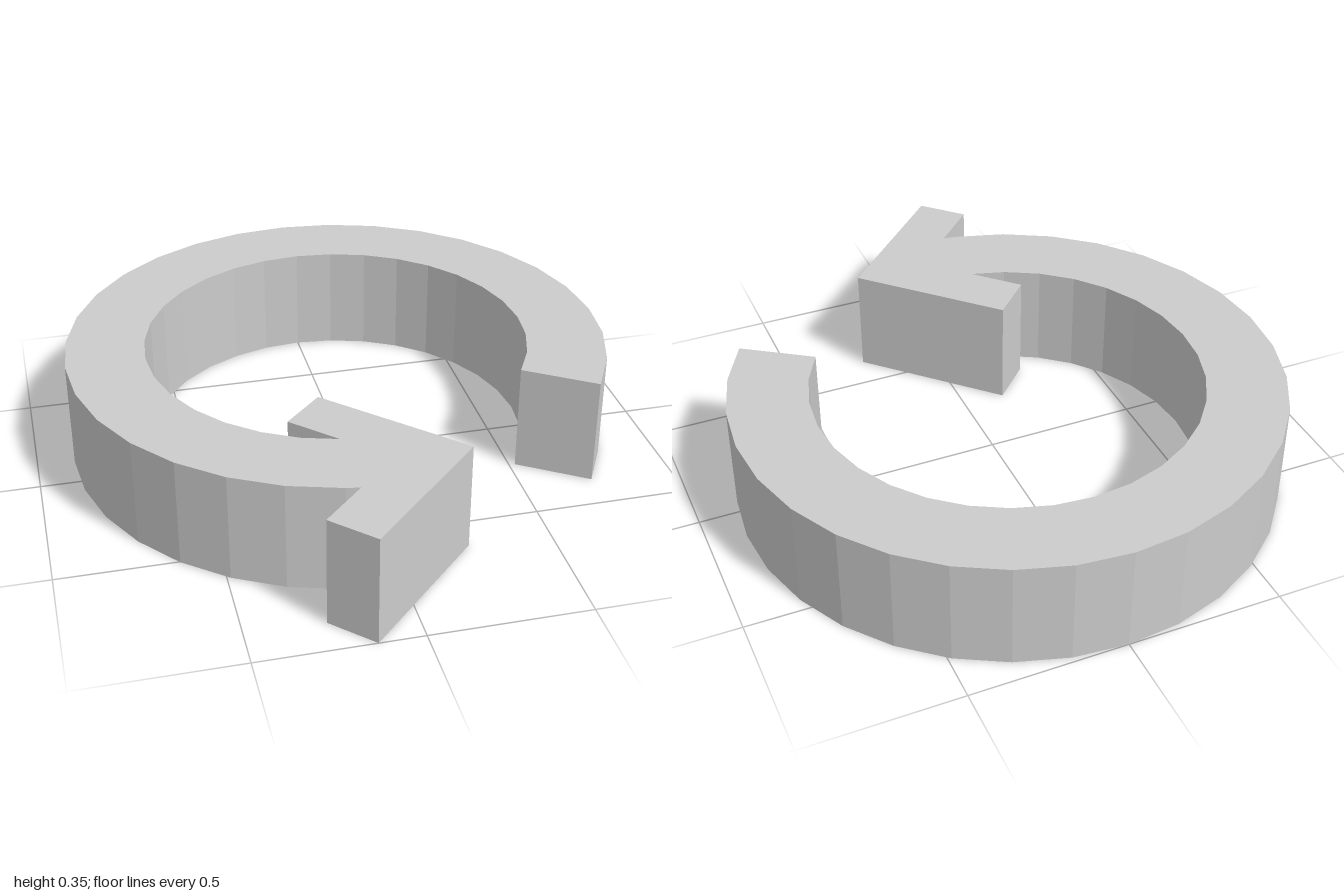
import * as THREE from 'three';

const HEIGHT = 0.355;
const OUTER = 0.88;
const INNER = 0.625;
const CENTER_Z = -0.12;
const STEP = Math.PI / 16; // 32-sided ring

// Points along the ring, from the tail round the back towards the head
function arc(radius, segments) {
  const points = [];
  for (let i = 0; i <= segments; i++) {
    const a = (3 - i) * STEP;
    points.push(new THREE.Vector2(radius * Math.cos(a), CENTER_Z + radius * Math.sin(a)));
  }
  return points;
}

export function createModel() {
  const group = new THREE.Group();
  group.name = 'circularArrow';

  // Chevron head, from the outer junction round to the inner junction
  const head = [
    [-0.13, 0.75], [-0.26, 0.88], [-0.14, 1.0], [0.24, 0.62],
    [-0.14, 0.24], [-0.26, 0.36], [-0.13, 0.49],
  ].map(([x, z]) => new THREE.Vector2(x, z));

  // One closed outline (x, z): outer ring, head, inner ring back to the tail
  const outline = new THREE.Shape([...arc(OUTER, 26), ...head, ...arc(INNER, 25).reverse()]);

  // Lay the outline flat and raise it onto the ground
  const geometry = new THREE.ExtrudeGeometry(outline, { depth: HEIGHT, bevelEnabled: false });
  geometry.rotateX(Math.PI / 2).translate(0, HEIGHT, 0);

  const material = new THREE.MeshStandardMaterial({ color: 0xcccccc, flatShading: true });
  const arrow = new THREE.Mesh(geometry, material);
  arrow.name = 'ringWithArrowHead';
  group.add(arrow);
  return group;
}
